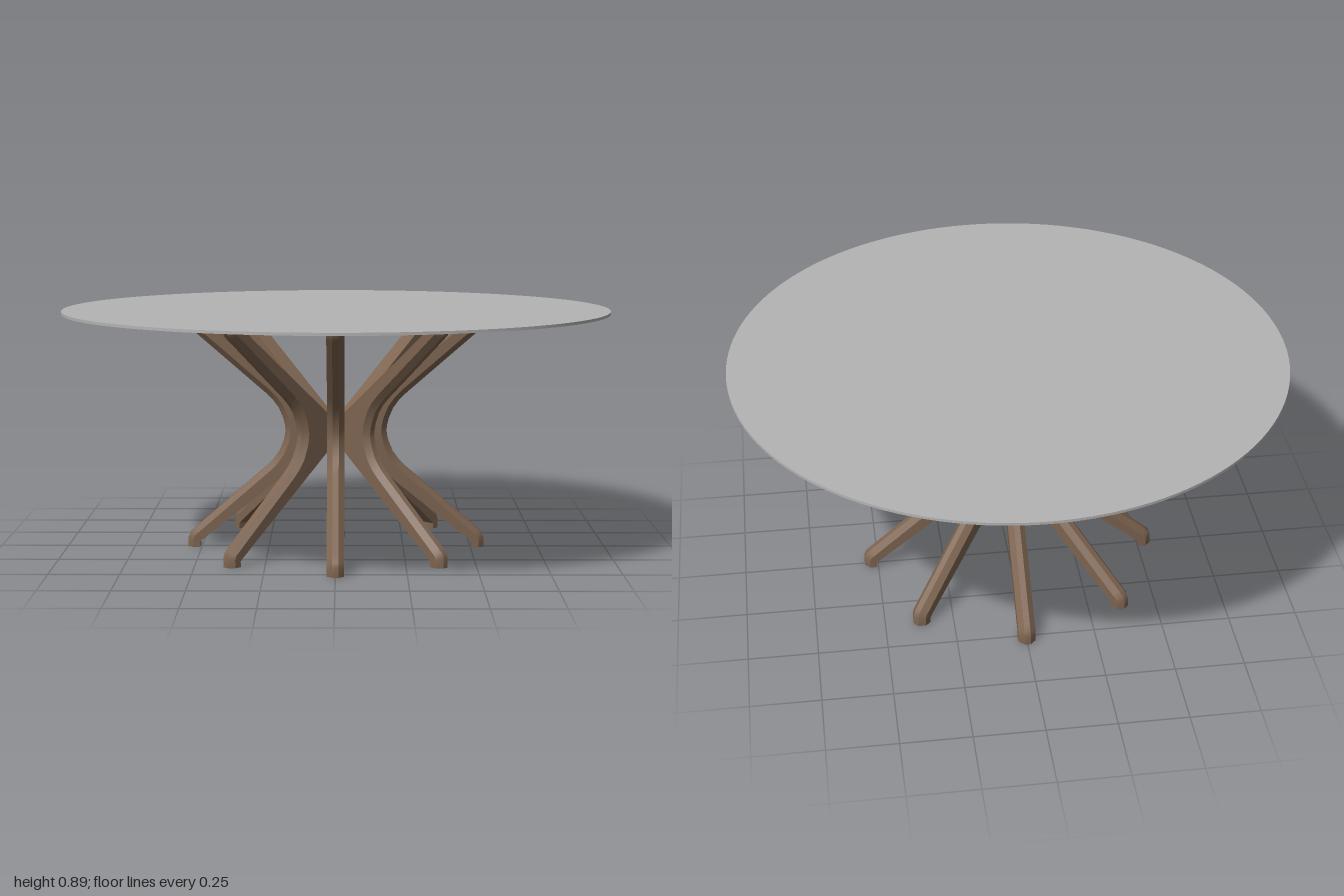
import * as THREE from 'three';
import { toCreasedNormals } from 'three/addons/utils/BufferGeometryUtils.js';

const LEG_HEIGHT = 0.878;
const LEG_COUNT = 8;
const HALF_WIDTH = 0.031;
const CHAMFER = 0.02;

// Lower half of a leg: [outer radius, outer y, inner radius, inner y]
const LOWER = [
  [0.55, 0, 0.505, 0],
  [0.55, 0.035, 0.505, 0.02],
  [0.543, 0.053, 0.498, 0.028],
  [0.525, 0.07, 0.485, 0.038],
  [0.26, 0.30, 0.215, 0.254],
  [0.232, 0.328, 0.178, 0.284],
  [0.211, 0.357, 0.135, 0.318],
  [0.195, 0.395, 0.065, 0.374],
  [0.189, 0.42, 0.0, 0.42],
  [0.187, 0.439, 0.0, 0.439],
];

// Cross-section with two chamfered corners on the outer side
function section([ro, yo, ri, yi]) {
  const len = Math.hypot(ri - ro, yi - yo);
  const rc = ro + ((ri - ro) / len) * CHAMFER;
  const yc = yo + ((yi - yo) / len) * CHAMFER;
  const a = HALF_WIDTH - CHAMFER;
  const w = HALF_WIDTH;
  return [[ro, yo, a], [rc, yc, w], [ri, yi, w], [ri, yi, -w], [rc, yc, -w], [ro, yo, -a]];
}

function legGeometry() {
  // Mirror the lower half upward, sharing the middle station
  const upper = LOWER.slice(0, -1).reverse()
    .map(([ro, yo, ri, yi]) => [ro, LEG_HEIGHT - yo, ri, LEG_HEIGHT - yi]);
  const rings = [...LOWER, ...upper].map(section);
  const n = 6;
  const index = [];
  for (let k = 0; k < rings.length - 1; k++) {
    for (let i = 0; i < n; i++) {
      const j = (i + 1) % n;
      const a = k * n + i, b = k * n + j;
      index.push(a, a + n, b, b, a + n, b + n);
    }
  }
  // Foot and top caps
  const last = (rings.length - 1) * n;
  for (let i = 1; i < n - 1; i++) {
    index.push(0, i, i + 1, last, last + i + 1, last + i);
  }
  const geometry = new THREE.BufferGeometry();
  geometry.setAttribute('position', new THREE.Float32BufferAttribute(rings.flat(2), 3));
  geometry.setIndex(index);
  return toCreasedNormals(geometry, 0.6);
}

export function createModel() {
  const table = new THREE.Group();
  table.name = 'roundTable';

  const wood = new THREE.MeshStandardMaterial({ color: 0x7d6450 });
  wood.name = 'brown wood';
  const glass = new THREE.MeshStandardMaterial({ color: 0xb4b4b4 });
  glass.name = 'grey glass';

  // Eight bent legs meeting at the hub
  const base = new THREE.Group();
  base.name = 'base';
  const geometry = legGeometry();
  for (let i = 0; i < LEG_COUNT; i++) {
    const leg = new THREE.Mesh(geometry, wood);
    leg.name = `leg${i + 1}`;
    leg.rotation.y = (i / LEG_COUNT) * Math.PI * 2;
    base.add(leg);
  }
  table.add(base);

  // Thin round top
  const top = new THREE.Mesh(new THREE.CylinderGeometry(1, 1, 0.01, 128), glass);
  top.name = 'tableTop';
  top.position.y = LEG_HEIGHT + 0.005;
  table.add(top);

  return table;
}
